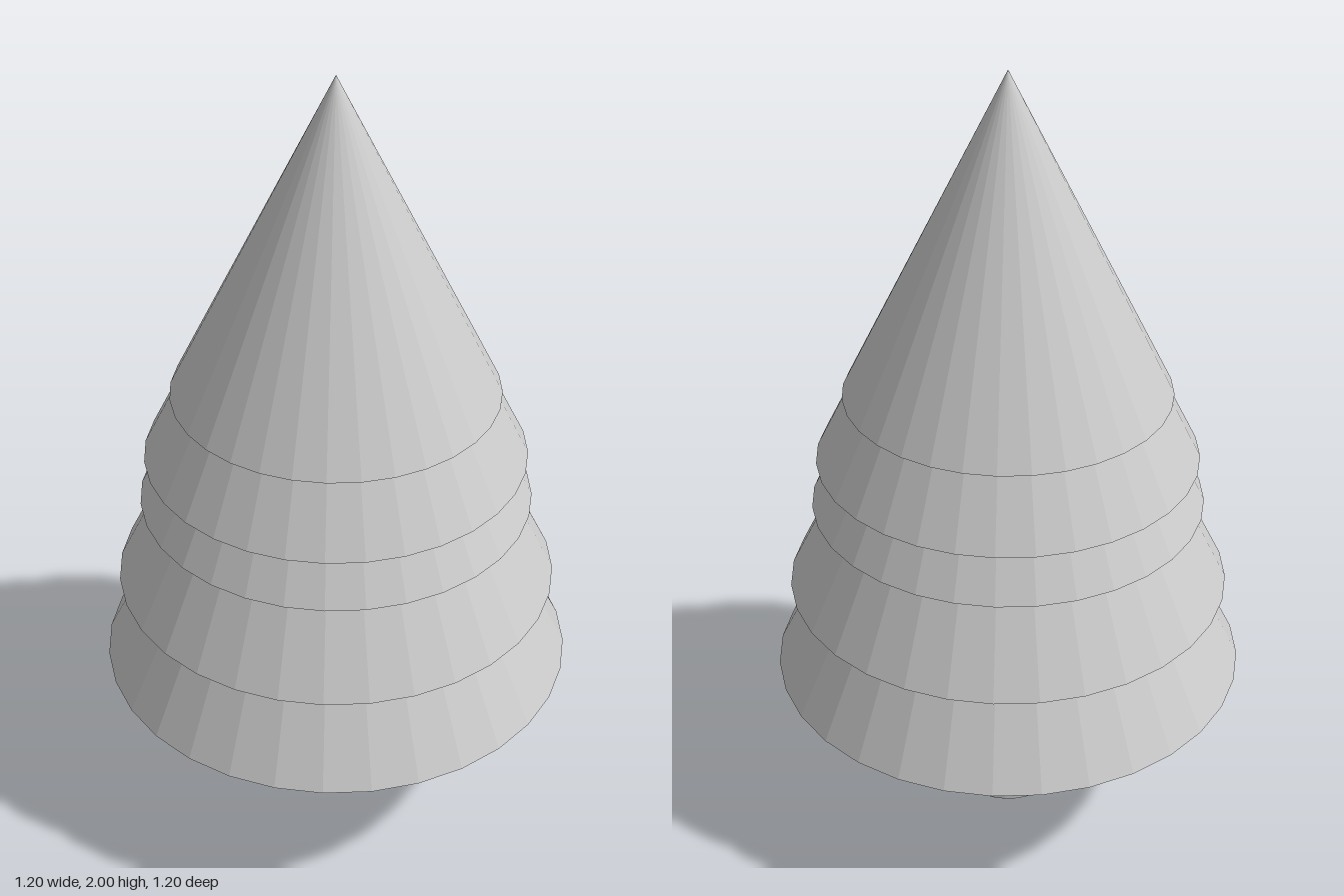
import * as THREE from 'three';

const SIDES = 32;

export function createModel() {
  const tree = new THREE.Group();
  tree.name = 'pineTree';
  const material = new THREE.MeshStandardMaterial({ color: 0xcccccc, flatShading: true });

  function add(name, geometry, y) {
    const mesh = new THREE.Mesh(geometry, material);
    mesh.name = name;
    mesh.position.y = y;
    tree.add(mesh);
  }

  // Trunk, ending just inside the lowest tier
  const trunkHeight = 0.43;
  add('trunk', new THREE.CylinderGeometry(0.14, 0.14, trunkHeight, SIDES), trunkHeight / 2);

  // Nested foliage cones from bottom to top: base height and radius
  const tiers = [
    [0.417, 0.602],
    [0.66, 0.558],
    [0.89, 0.492],
    [1.016, 0.476],
    [1.19, 0.405],
  ];
  tiers.forEach(([base, radius], i) => {
    const height = radius * 2; // every tier has the same slope
    add(`foliageTier${i + 1}`, new THREE.ConeGeometry(radius, height, SIDES), base + height / 2);
  });

  return tree;
}
